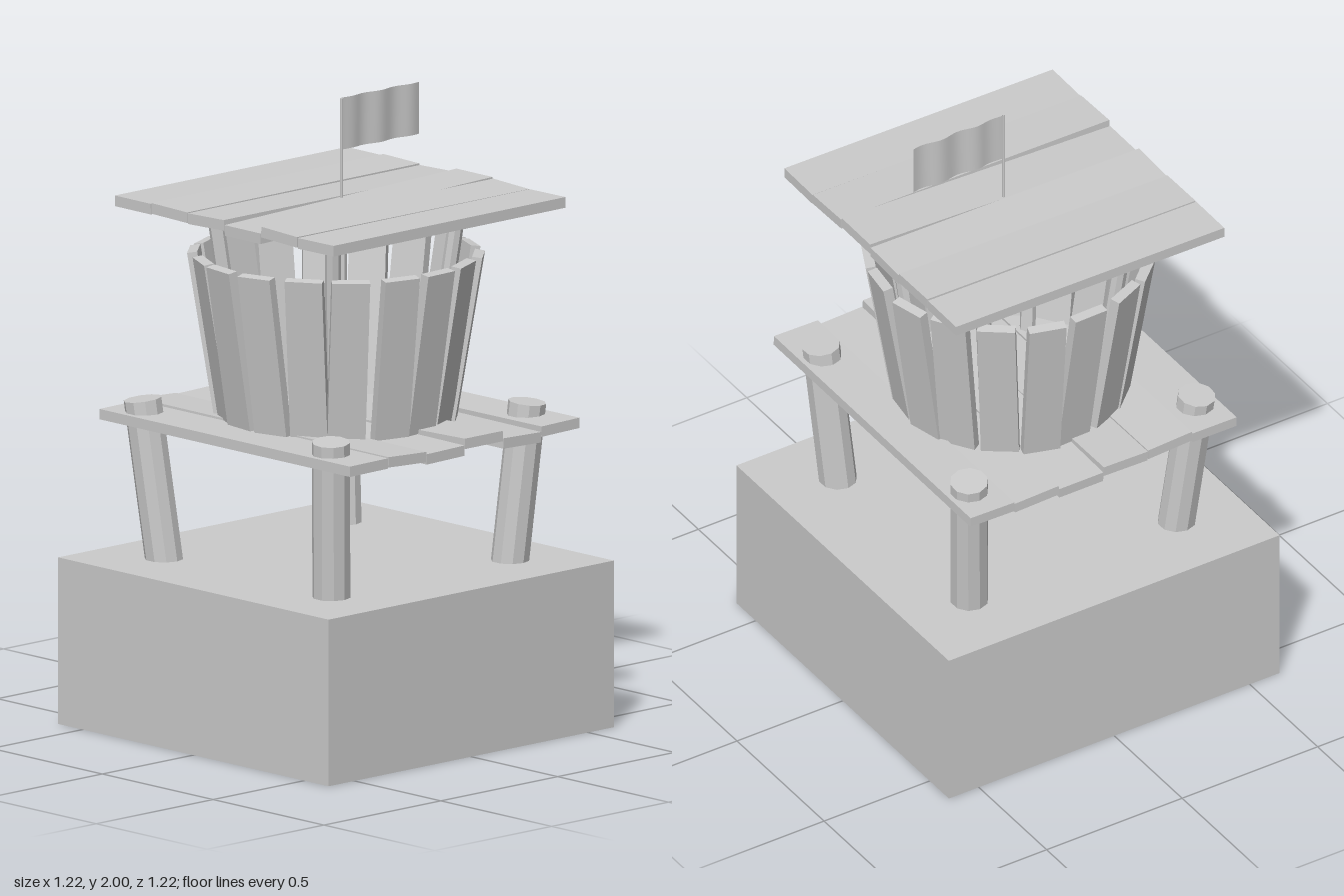
import * as THREE from 'three';

const grey = new THREE.MeshStandardMaterial({ color: 0xcccccc, flatShading: true });
const thin = new THREE.MeshStandardMaterial({ color: 0xcccccc, side: THREE.DoubleSide });
const UP = new THREE.Vector3(0, 1, 0);

function add(parent, name, geometry, material = grey) {
  const mesh = new THREE.Mesh(geometry, material);
  mesh.name = name;
  parent.add(mesh);
  return mesh;
}

// Round pole running from point a to point b
function pole(parent, name, a, b, radius, sides) {
  const from = new THREE.Vector3(...a), to = new THREE.Vector3(...b);
  const dir = to.clone().sub(from);
  const mesh = add(parent, name, new THREE.CylinderGeometry(radius, radius, dir.length(), sides));
  mesh.position.copy(from).add(to).multiplyScalar(0.5);
  mesh.quaternion.setFromUnitVectors(UP, dir.normalize());
  return mesh;
}

function group(parent, name) {
  const g = new THREE.Group();
  g.name = name;
  parent.add(g);
  return g;
}

export function createModel() {
  const model = new THREE.Group();
  model.name = 'lookoutTower';

  // Solid block under the tower
  add(model, 'base', new THREE.BoxGeometry(1.22, 0.53, 1.22)).position.y = 0.265;

  // Four legs spreading outwards towards the top
  const legs = group(model, 'legs');
  for (const sx of [-1, 1]) {
    pole(legs, 'frontLeg', [sx * 0.38, 0.5, 0.38], [sx * 0.42, 1.035, 0.42], 0.06, 10);
    pole(legs, 'backLeg', [sx * 0.38, 0.5, -0.37], [sx * 0.42, 1.035, -0.43], 0.06, 10);
  }

  // Platform planks run front to back, each slightly uneven: [height, pitch, roll]
  const platform = group(model, 'platform');
  [[0.978, 0, 0.01], [0.98, 0.004, -0.05], [0.972, 0.008, 0.02],
    [0.975, -0.027, 0], [0.967, 0.006, -0.03], [0.978, -0.004, 0.02]].forEach(([y, pitch, roll], i) => {
    const plank = add(platform, 'platformPlank', new THREE.BoxGeometry(0.162, 0.033, 1.13));
    plank.position.set((i - 2.5) * 0.164, y, 0.016);
    plank.rotation.set(pitch, 0, roll);
  });

  // Basket of straight staves leaning outwards
  const basket = group(model, 'basket');
  const count = 18, lean = Math.atan2(0.085, 0.52);
  for (let i = 0; i < count; i++) {
    const arm = group(basket, 'staveMount');
    arm.rotation.y = 0.05 + i * Math.PI * 2 / count + 0.02 * Math.sin(i * 2.7);
    const stave = add(arm, 'stave', new THREE.BoxGeometry(0.119, 0.535, 0.032));
    stave.position.set(0, 1.245, 0.395 + 0.006 * Math.sin(i * 4.1));
    stave.rotation.set(lean, 0, 0.015 * Math.sin(i * 1.9));
  }

  // Roof posts rise from the platform through the basket
  const posts = group(model, 'roofPosts');
  for (const sx of [-1, 1]) for (const sz of [-1, 1])
    pole(posts, 'roofPost', [sx * 0.2, 0.97, sz * 0.2], [sx * 0.27, 1.665, sz * 0.27], 0.025, 8);

  // Roof planks run side to side, listed back to front: [height, slope, roll]
  const roof = group(model, 'roof');
  [[1.668, 0.004, 0], [1.67, 0.006, 0.02], [1.667, 0.003, -0.03],
    [1.667, 0.03, 0], [1.672, 0.003, 0.04], [1.668, 0.005, -0.01]].forEach(([y, slope, roll], i) => {
    const plank = add(roof, 'roofPlank', new THREE.BoxGeometry(0.985, 0.034, 0.163));
    plank.position.set(0.004, y, 0.015 + (i - 2.5) * 0.165);
    plank.rotation.set(roll, -0.008, slope);
  });

  // Flagpole with a gently rippled flag
  pole(model, 'flagpole', [0, 1.66, 0.025], [0, 2, 0.025], 0.005, 8);
  const cloth = new THREE.PlaneGeometry(0.333, 0.165, 40, 1);
  const p = cloth.attributes.position;
  for (let i = 0; i < p.count; i++) {
    const u = p.getX(i) / 0.333 + 0.5;
    p.setZ(i, 0.005 * Math.sin(u * Math.PI * 5) * Math.min(1, u * 4));
  }
  cloth.computeVertexNormals();
  add(model, 'flag', cloth, thin).position.set(0.168, 1.9175, 0.021);

  return model;
}
